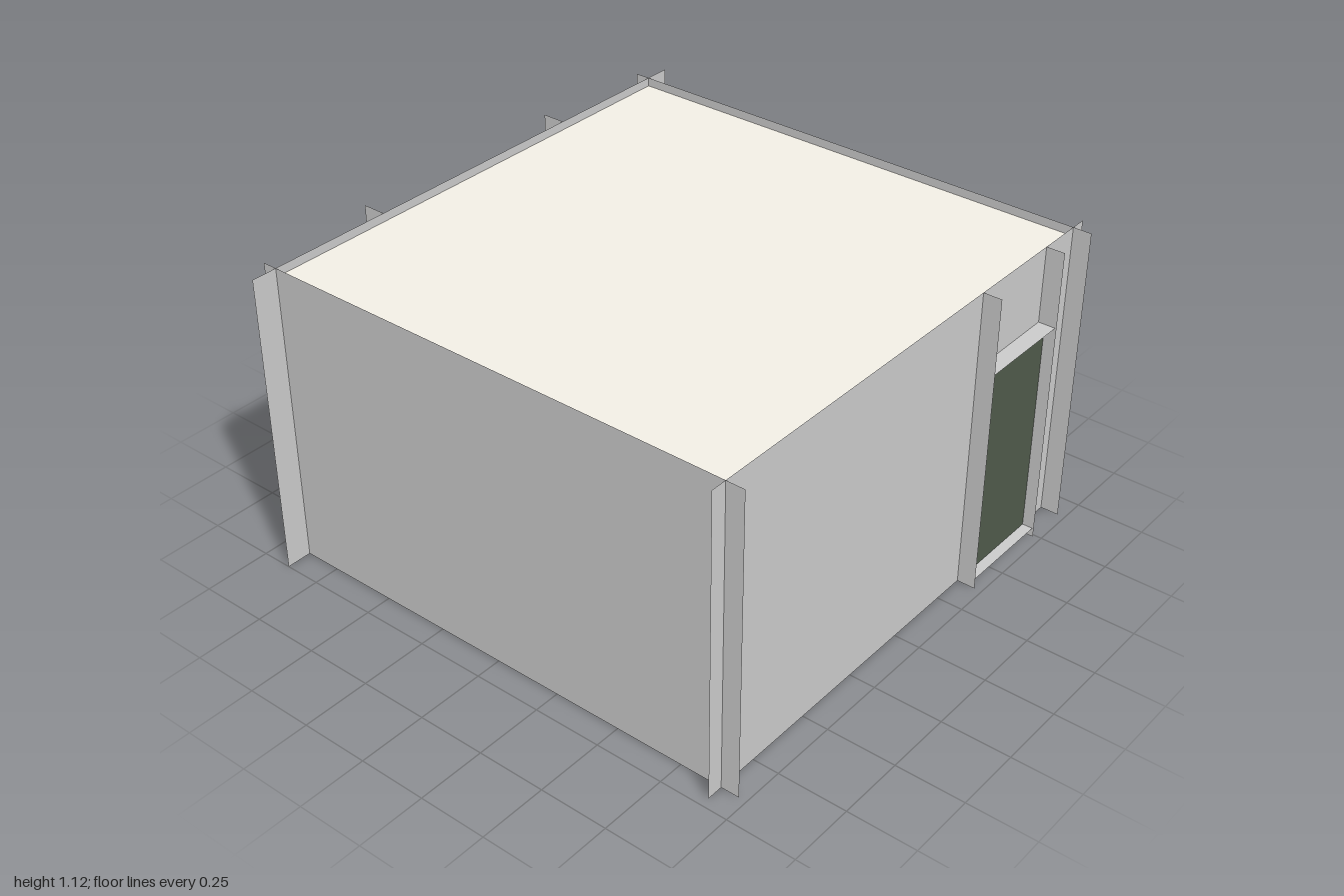
import * as THREE from 'three';

const material = (color) => new THREE.MeshStandardMaterial({ color, side: THREE.DoubleSide });

export function createModel() {
  const room = new THREE.Group();
  room.name = 'room';
  const grey = material(0xcccccc);
  const green = material(0x505a4b);
  const cream = material(0xf3efe6);

  const H = 1.12;                    // wall height
  const X = 0.905, F = 0.905, B = -0.885; // wall planes: sides, front, back
  const floorY = 0.033, ceilingY = 1.088;

  const add = (name, geometry, mat, parent) => {
    const mesh = new THREE.Mesh(geometry, mat);
    mesh.name = name;
    parent.add(mesh);
    return mesh;
  };
  // Thin sheets, each given by its ranges and its fixed coordinate
  const sheetXY = (name, x0, x1, y0, y1, z, mat = grey, parent = room) =>
    add(name, new THREE.PlaneGeometry(x1 - x0, y1 - y0)
      .translate((x0 + x1) / 2, (y0 + y1) / 2, z), mat, parent);
  const sheetZY = (name, z0, z1, y0, y1, x, mat = grey, parent = room) =>
    add(name, new THREE.PlaneGeometry(z1 - z0, y1 - y0).rotateY(Math.PI / 2)
      .translate(x, (y0 + y1) / 2, (z0 + z1) / 2), mat, parent);
  const sheetXZ = (name, x0, x1, z0, z1, y, mat = grey, parent = room) =>
    add(name, new THREE.PlaneGeometry(x1 - x0, z1 - z0).rotateX(-Math.PI / 2)
      .translate((x0 + x1) / 2, y, (z0 + z1) / 2), mat, parent);
  const block = (name, x0, x1, y0, y1, z0, z1, mat = grey, parent = room) =>
    add(name, new THREE.BoxGeometry(x1 - x0, y1 - y0, z1 - z0)
      .translate((x0 + x1) / 2, (y0 + y1) / 2, (z0 + z1) / 2), mat, parent);

  // Walls cross each other at the corners and run on as short fins
  sheetXY('frontWall', -0.965, 0.965, 0, H, F);
  sheetXY('backWall', -1, 1, 0, H, B);
  sheetZY('leftWall', -0.94, 0.972, 0, H, X);
  sheetZY('rightWall', -0.94, 0.972, 0, H, -X);

  // Floor and ceiling sit a little inside the wall edges
  sheetXZ('floor', -X, X, B, F, floorY);
  sheetXZ('ceiling', -X, X, B, F, ceilingY, cream);

  // Skirting and cornice along the inside of the walls
  const t = 0.01, gap = 0.004;
  for (const [name, y0, y1, mat] of [
    ['skirting', floorY + 0.002, 0.09, green],
    ['cornice', 1.05, ceilingY - 0.002, grey],
  ]) {
    const trim = new THREE.Group();
    trim.name = name;
    room.add(trim);
    for (const s of [-1, 1]) {
      const a = s * (X - gap), b = s * (X - gap - t);
      block(name + 'Side', Math.min(a, b), Math.max(a, b), y0, y1, B + gap, F - gap, mat, trim);
    }
    block(name + 'Back', -X + 0.02, X - 0.02, y0, y1, B + gap, B + gap + t, mat, trim);
    block(name + 'Front', -X + 0.02, X - 0.02, y0, y1, F - gap - t, F - gap, mat, trim);
  }

  // Doorway: full-height jambs, lintel, threshold and door leaf
  const doorway = new THREE.Group();
  doorway.name = 'doorway';
  room.add(doorway);
  const d0 = 0.37, d1 = 0.74, doorTop = 0.84;
  for (const x of [d0, d1]) sheetZY('doorJamb', F, 0.972, 0, H, x, grey, doorway);
  sheetXZ('doorLintel', d0, d1, F, 0.967, doorTop, grey, doorway);
  sheetXZ('threshold', d0, d1, F, 0.967, floorY, grey, doorway);
  sheetXY('door', d0, d1, floorY, doorTop, 0.928, green, doorway);

  // Window: full-height jambs, lintel, sills, pane and glazing bars
  const win = new THREE.Group();
  win.name = 'window';
  room.add(win);
  const w0 = -0.44, w1 = 0.435, sillY = 0.25, headY = 0.95, out = -0.972;
  for (const x of [w0, w1]) sheetZY('windowJamb', out, B, 0, H, x, grey, win);
  sheetXZ('windowLintel', w0, w1, out, B, headY, grey, win);
  sheetXZ('outerSill', w0, w1, out, B, sillY, grey, win);
  block('innerSill', w0 - 0.01, w1 + 0.01, sillY + 0.003, sillY + 0.02, -0.945, B, grey, win);
  sheetXY('pane', w0, w1, sillY, headY, -0.932, grey, win);
  const bar = 0.01;
  for (const k of [1, 2]) {
    const x = w0 + (w1 - w0) * k / 3;
    block('mullion', x - bar, x + bar, sillY, headY, -0.947, -0.93, grey, win);
  }
  block('transom', w0, w1, 0.81 - bar, 0.81 + bar, -0.945, -0.93, grey, win);

  return room;
}
